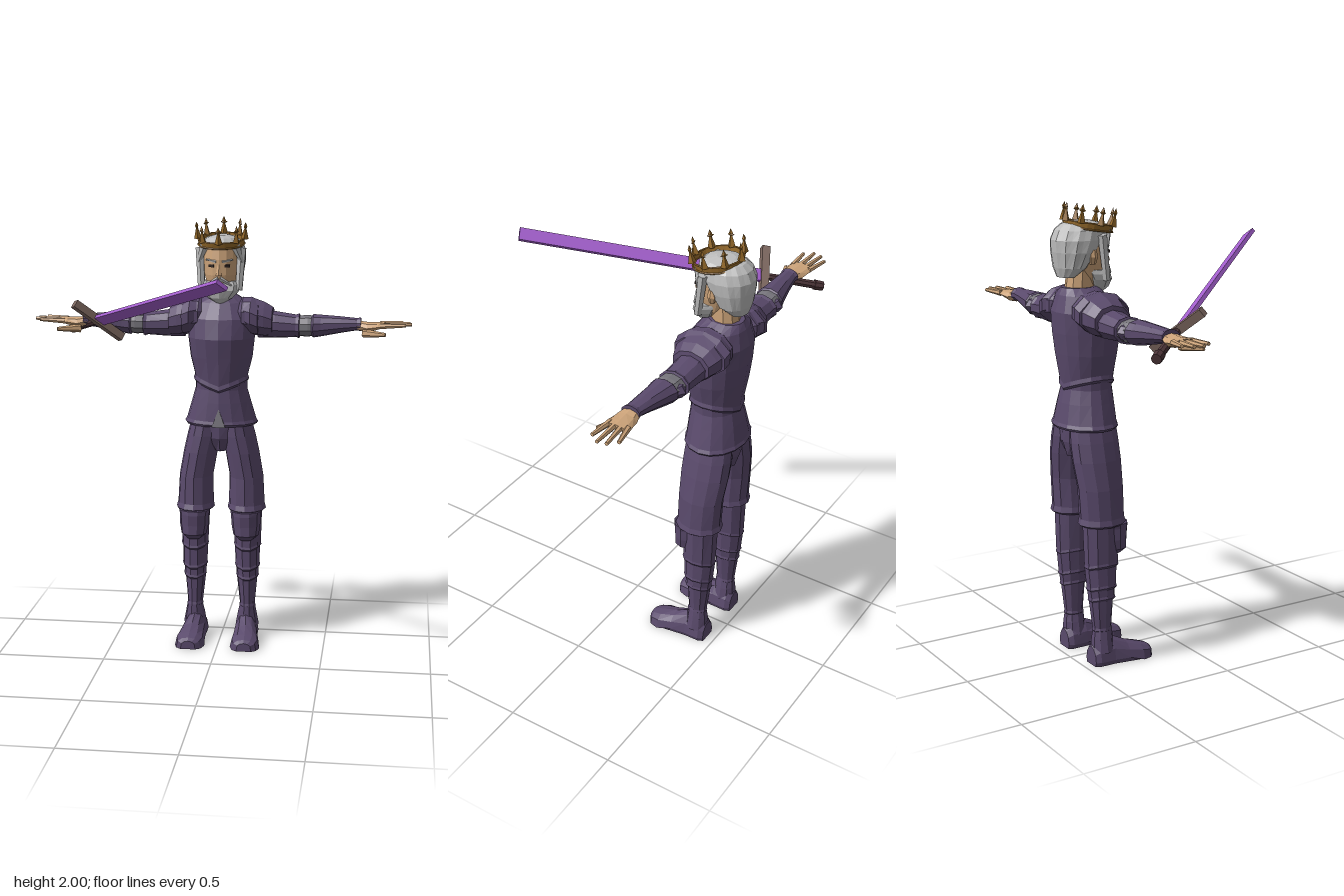
import * as THREE from 'three';

const mat = (name, color) => new THREE.MeshStandardMaterial({ name, color, flatShading: true });
const V = (x, y, z) => new THREE.Vector3(x, y, z);

// Closed skin over elliptical rings. Each section: [t, centreA, centreB, radiusA, radiusB].
// Axis y uses (x, z) as (A, B), axis x uses (y, z), axis z uses (x, y).
function loft(axis, sections, n = 12, ripple = 0) {
  const place = {
    y: (t, a, b) => [a, t, b],
    x: (t, a, b) => [t, a, b],
    z: (t, a, b) => [a, b, t],
  }[axis];
  const pos = [], idx = [];
  const tri = (a, b, c) => (axis === 'y' ? idx.push(a, c, b) : idx.push(a, b, c));
  sections.forEach(([t, ca, cb, ra, rb]) => {
    for (let j = 0; j < n; j++) {
      const k = 1 + (j % 2 ? -ripple : ripple), q = (j / n) * Math.PI * 2;
      pos.push(...place(t, ca + ra * k * Math.cos(q), cb + rb * k * Math.sin(q)));
    }
  });
  const last = sections.length - 1;
  for (let i = 0; i < last; i++) for (let j = 0; j < n; j++) {
    const a = i * n + j, b = i * n + (j + 1) % n;
    tri(a, b, a + n);
    tri(b, b + n, a + n);
  }
  [0, last].forEach((s) => {
    const c = pos.length / 3, [t, ca, cb] = sections[s];
    pos.push(...place(t, ca, cb));
    for (let j = 0; j < n; j++) {
      const a = s * n + j, b = s * n + (j + 1) % n;
      s ? tri(a, b, c) : tri(b, a, c);
    }
  });
  const g = new THREE.BufferGeometry();
  g.setAttribute('position', new THREE.Float32BufferAttribute(pos, 3));
  g.setIndex(idx);
  return finish(g);
}

function finish(g) {
  const out = g.index ? g.toNonIndexed() : g;
  out.computeVertexNormals();
  return out;
}

// Move every vertex by a rule
function reshape(g, rule) {
  const p = g.attributes.position, v = V(0, 0, 0);
  for (let i = 0; i < p.count; i++) {
    rule(v.fromBufferAttribute(p, i));
    p.setXYZ(i, v.x, v.y, v.z);
  }
  return finish(g);
}

// Tapered rod between two points
function rod(a, b, r0, r1, n = 6) {
  const d = b.clone().sub(a);
  const g = new THREE.CylinderGeometry(r1, r0, d.length(), n);
  g.applyQuaternion(new THREE.Quaternion().setFromUnitVectors(V(0, 1, 0), d.normalize()));
  const m = a.clone().add(b).multiplyScalar(0.5);
  return finish(g.translate(m.x, m.y, m.z));
}

// Mirrored copy across x with corner order restored
function mirrored(g) {
  const m = g.clone(), p = m.attributes.position;
  for (let i = 0; i < p.count; i += 3) {
    const v = [0, 2, 1].map((k) => new THREE.Vector3().fromBufferAttribute(g.attributes.position, i + k));
    v.forEach((q, k) => p.setXYZ(i + k, -q.x, q.y, q.z));
  }
  return finish(m);
}

export function createModel() {
  const armour = mat('plum armour', 0x5a4a6c), chain = mat('grey chain', 0x77757c);
  const skin = mat('skin', 0xcda47a), hair = mat('silver hair', 0xbcbcbc);
  const gold = mat('old gold', 0x94692a), violet = mat('violet blade', 0xa35fcd);
  const bronze = mat('guard brown', 0x806a62), leather = mat('dark leather', 0x4c3438);
  const dark = mat('eye dark', 0x2c211f);
  gold.side = THREE.DoubleSide;

  const model = new THREE.Group();
  const add = (name, g, m, parent = model) => {
    const mesh = new THREE.Mesh(g, m);
    mesh.name = name;
    parent.add(mesh);
    return mesh;
  };
  const both = (name, g, m) => {
    add(name + 'Left', g, m);
    add(name + 'Right', mirrored(g), m);
  };

  // Torso
  add('breastplate', reshape(loft('y', [
    [1.235, 0, -0.4, 0.12, 0.108], [1.245, 0, -0.4, 0.13, 0.116], [1.265, 0, -0.4, 0.124, 0.112],
    [1.37, 0, -0.4, 0.145, 0.13], [1.46, 0, -0.398, 0.155, 0.143], [1.55, 0, -0.41, 0.16, 0.135],
    [1.62, 0, -0.425, 0.12, 0.1], [1.65, 0, -0.43, 0.068, 0.08]], 16), (v) => {
    if (v.y < 1.3) v.y += Math.abs(v.x) * 0.35 - 0.025;
  }), armour);
  add('tasset', loft('y', [
    [1.05, 0, -0.412, 0.165, 0.128], [1.06, 0, -0.412, 0.172, 0.134], [1.075, 0, -0.411, 0.163, 0.128],
    [1.16, 0, -0.406, 0.138, 0.117], [1.22, 0, -0.402, 0.121, 0.107], [1.29, 0, -0.4, 0.122, 0.106]], 16), armour);
  const notch = new THREE.Shape([new THREE.Vector2(-0.032, 0), new THREE.Vector2(0.032, 0), new THREE.Vector2(0, 0.085)]);
  const notchMesh = add('chainNotch', finish(new THREE.ExtrudeGeometry(notch, { depth: 0.008, bevelEnabled: false })), chain);
  notchMesh.position.set(0, 1.05, -0.283);
  notchMesh.rotation.x = -0.12;
  add('pelvis', loft('y', [[0.925, 0, -0.42, 0.035, 0.08], [0.99, 0, -0.415, 0.1, 0.105], [1.09, 0, -0.412, 0.132, 0.112]]), armour);

  // Arms
  both('pauldron', loft('x', [
    [0.075, 1.565, -0.415, 0.06, 0.085], [0.1, 1.56, -0.413, 0.082, 0.113], [0.15, 1.552, -0.412, 0.085, 0.118],
    [0.2, 1.54, -0.41, 0.08, 0.105], [0.238, 1.53, -0.408, 0.068, 0.088], [0.24, 1.53, -0.408, 0.05, 0.06]], 10), armour);
  both('shoulderPlate', loft('x', [
    [0.1, 1.57, -0.41, 0.07, 0.1], [0.14, 1.56, -0.41, 0.083, 0.13],
    [0.175, 1.545, -0.41, 0.08, 0.124], [0.178, 1.545, -0.41, 0.06, 0.1]], 10), armour);
  both('upperArm', loft('x', [
    [0.17, 1.52, -0.41, 0.065, 0.075], [0.25, 1.517, -0.408, 0.062, 0.072],
    [0.345, 1.513, -0.406, 0.052, 0.066], [0.36, 1.513, -0.406, 0.058, 0.072], [0.365, 1.513, -0.406, 0.045, 0.055]], 10), armour);
  both('elbowChain', loft('x', [[0.34, 1.513, -0.405, 0.046, 0.06], [0.4, 1.514, -0.404, 0.05, 0.064], [0.46, 1.516, -0.402, 0.042, 0.054]], 10), chain);
  both('elbowCap', loft('x', [
    [0.365, 1.514, -0.425, 0.03, 0.04], [0.395, 1.514, -0.415, 0.04, 0.068], [0.43, 1.515, -0.415, 0.03, 0.045]], 8), armour);
  both('forearm', loft('x', [
    [0.415, 1.515, -0.402, 0.045, 0.058], [0.425, 1.515, -0.402, 0.054, 0.066], [0.46, 1.517, -0.4, 0.05, 0.058],
    [0.55, 1.524, -0.392, 0.038, 0.046], [0.625, 1.528, -0.386, 0.028, 0.038], [0.642, 1.528, -0.385, 0.032, 0.043]], 10), armour);
  both('palm', loft('x', [
    [0.62, 1.525, -0.385, 0.022, 0.034], [0.67, 1.515, -0.383, 0.025, 0.05],
    [0.72, 1.522, -0.387, 0.017, 0.056], [0.752, 1.526, -0.39, 0.012, 0.048]], 8), skin);
  [[-0.432, 0.832, -0.458], [-0.405, 0.865, -0.424], [-0.378, 0.873, -0.385], [-0.351, 0.845, -0.345]].forEach(([z0, x1, z1], i) =>
    both('finger' + (i + 1), rod(V(0.73, 1.525, z0), V(x1, 1.53, z1), 0.0135, 0.008), skin));
  both('thumb', rod(V(0.655, 1.492, -0.35), V(0.755, 1.492, -0.306), 0.02, 0.009), skin);

  // Legs
  both('thigh', loft('y', [
    [0.635, 0.122, -0.402, 0.08, 0.092], [0.645, 0.122, -0.402, 0.091, 0.108], [0.67, 0.121, -0.403, 0.085, 0.1],
    [0.8, 0.119, -0.407, 0.08, 0.103], [0.92, 0.098, -0.412, 0.08, 0.112], [1.0, 0.08, -0.413, 0.08, 0.112],
    [1.08, 0.068, -0.412, 0.07, 0.106]]), armour);
  both('kneePad', loft('y', [
    [0.5, 0.124, -0.345, 0.03, 0.03], [0.525, 0.124, -0.346, 0.06, 0.055], [0.57, 0.123, -0.35, 0.068, 0.06],
    [0.62, 0.122, -0.35, 0.07, 0.066], [0.64, 0.122, -0.352, 0.074, 0.066]], 10), armour);
  // overlapping shin plates, each with a flared lower lip
  [[0.15, 0.31, 0.036, 0.043, 0.05, 0.056], [0.295, 0.36, 0.052, 0.06, 0.055, 0.064],
    [0.345, 0.46, 0.058, 0.067, 0.06, 0.073], [0.445, 0.66, 0.063, 0.076, 0.07, 0.078]].forEach(([y0, y1, a0, b0, a1, b1], i) =>
    both('shinPlate' + (i + 1), reshape(loft('y', [
      [y0, 0.126, -0.41, a0 - 0.004, b0 - 0.004], [y0 + 0.008, 0.126, -0.41, a0 + 0.003, b0 + 0.003],
      [y0 + 0.02, 0.126, -0.41, a0, b0], [y1, 0.124, -0.413, a1, b1]], 10),
    (v) => { if (i && v.y < y0 + 0.03) v.y += Math.abs(v.x - 0.126) * 0.3 - 0.01; }), armour));
  both('ankle', loft('y', [[0.06, 0.126, -0.41, 0.056, 0.052], [0.12, 0.126, -0.41, 0.045, 0.048], [0.158, 0.127, -0.408, 0.037, 0.044]], 10), armour);
  both('boot', reshape(loft('z', [
    [-0.462, 0.122, 0.02, 0.043, 0.065], [-0.44, 0.122, 0.02, 0.056, 0.09], [-0.37, 0.123, 0.02, 0.056, 0.1],
    [-0.3, 0.128, 0.02, 0.062, 0.068], [-0.235, 0.131, 0.018, 0.07, 0.048], [-0.195, 0.132, 0.015, 0.058, 0.037],
    [-0.178, 0.132, 0.015, 0.035, 0.025]], 12), (v) => { if (v.y < 0.018) v.y = 0; }), armour);

  // Head and face
  add('neck', rod(V(0, 1.6, -0.435), V(0, 1.76, -0.42), 0.062, 0.056, 10), skin);
  add('head', loft('y', [
    [1.65, 0, -0.36, 0.035, 0.045], [1.69, 0, -0.38, 0.062, 0.07], [1.75, 0, -0.39, 0.078, 0.093],
    [1.82, 0, -0.398, 0.086, 0.101], [1.88, 0, -0.405, 0.082, 0.1]], 16), skin);
  add('nose', rod(V(0, 1.748, -0.295), V(0, 1.8, -0.302), 0.016, 0.007, 5), skin);
  both('ear', loft('y', [[1.75, 0.085, -0.41, 0.01, 0.012], [1.78, 0.09, -0.41, 0.016, 0.02], [1.81, 0.09, -0.41, 0.01, 0.014]], 6), skin);
  both('eye', finish(new THREE.BoxGeometry(0.026, 0.012, 0.008).rotateY(0.3).translate(0.036, 1.793, -0.306)), dark);
  both('eyebrow', rod(V(0.014, 1.812, -0.3), V(0.06, 1.82, -0.318), 0.007, 0.004, 5), hair);
  add('hairCap', loft('y', [
    [1.695, 0, -0.492, 0.05, 0.035], [1.735, 0, -0.472, 0.088, 0.066], [1.8, 0, -0.452, 0.104, 0.096],
    [1.85, 0, -0.435, 0.107, 0.115], [1.89, 0, -0.42, 0.097, 0.113], [1.914, 0, -0.42, 0.07, 0.084],
    [1.926, 0, -0.42, 0.03, 0.04]], 28, 0.018), hair);
  both('sideburn', rod(V(0.086, 1.68, -0.345), V(0.096, 1.87, -0.37), 0.017, 0.022, 6), hair);
  both('templeLock', rod(V(0.102, 1.8, -0.355), V(0.07, 1.885, -0.335), 0.008, 0.022, 5), hair);
  add('beard', loft('y', [
    [1.622, 0, -0.335, 0.016, 0.018], [1.645, 0, -0.34, 0.055, 0.04], [1.68, 0, -0.348, 0.086, 0.056],
    [1.705, 0, -0.358, 0.09, 0.058], [1.722, 0, -0.368, 0.082, 0.06]], 16, 0.04), hair);
  both('moustache', rod(V(0.003, 1.736, -0.298), V(0.056, 1.706, -0.312), 0.011, 0.006, 5), hair);

  // Crown
  const crown = new THREE.Group();
  crown.name = 'crown';
  crown.position.set(0, 1.9, -0.385);
  crown.rotation.x = 0.16;
  model.add(crown);
  add('band', finish(new THREE.CylinderGeometry(0.108, 0.104, 0.026, 24, 1, true)), gold, crown);
  [-0.013, 0.013].forEach((y) =>
    add('bandRim', finish(new THREE.TorusGeometry(0.106, 0.004, 5, 24).rotateX(Math.PI / 2).translate(0, y, 0)), gold, crown));
  for (let i = 0; i < 8; i++) {
    const spike = new THREE.Group();
    spike.name = 'spike';
    spike.rotation.y = (i * Math.PI) / 4;
    crown.add(spike);
    add('stem', rod(V(0, 0.01, 0.107), V(0, 0.06, 0.111), 0.018, 0.004, 4), gold, spike);
    add('crossBar', finish(new THREE.OctahedronGeometry(0.016).scale(1, 0.6, 0.4).translate(0, 0.062, 0.111)), gold, spike);
    add('point', finish(new THREE.OctahedronGeometry(0.02).scale(0.45, 1, 0.4).translate(0, 0.068, 0.112)), gold, spike);
  }

  // Sword, with local y along the blade and local x along the guard
  const sword = new THREE.Group();
  sword.name = 'sword';
  const along = V(0.68, 0.27, 0.835).normalize();
  const face = V(0.2, -0.17, -0.11).cross(along).normalize();
  const across = along.clone().cross(face);
  sword.quaternion.setFromRotationMatrix(new THREE.Matrix4().makeBasis(across, along, face));
  sword.position.set(-0.56, 1.535, -0.3);
  model.add(sword);
  add('blade', finish(new THREE.BoxGeometry(0.056, 1.1, 0.018).translate(0, 0.55, 0)), violet, sword);
  add('guard', finish(new THREE.BoxGeometry(0.28, 0.036, 0.036)), bronze, sword);
  add('grip', rod(V(0, -0.25, 0), V(0, 0, 0), 0.019, 0.017, 8), leather, sword);
  add('pommel', rod(V(0, -0.275, 0), V(0, -0.235, 0), 0.022, 0.024, 8), leather, sword);
  return model;
}
